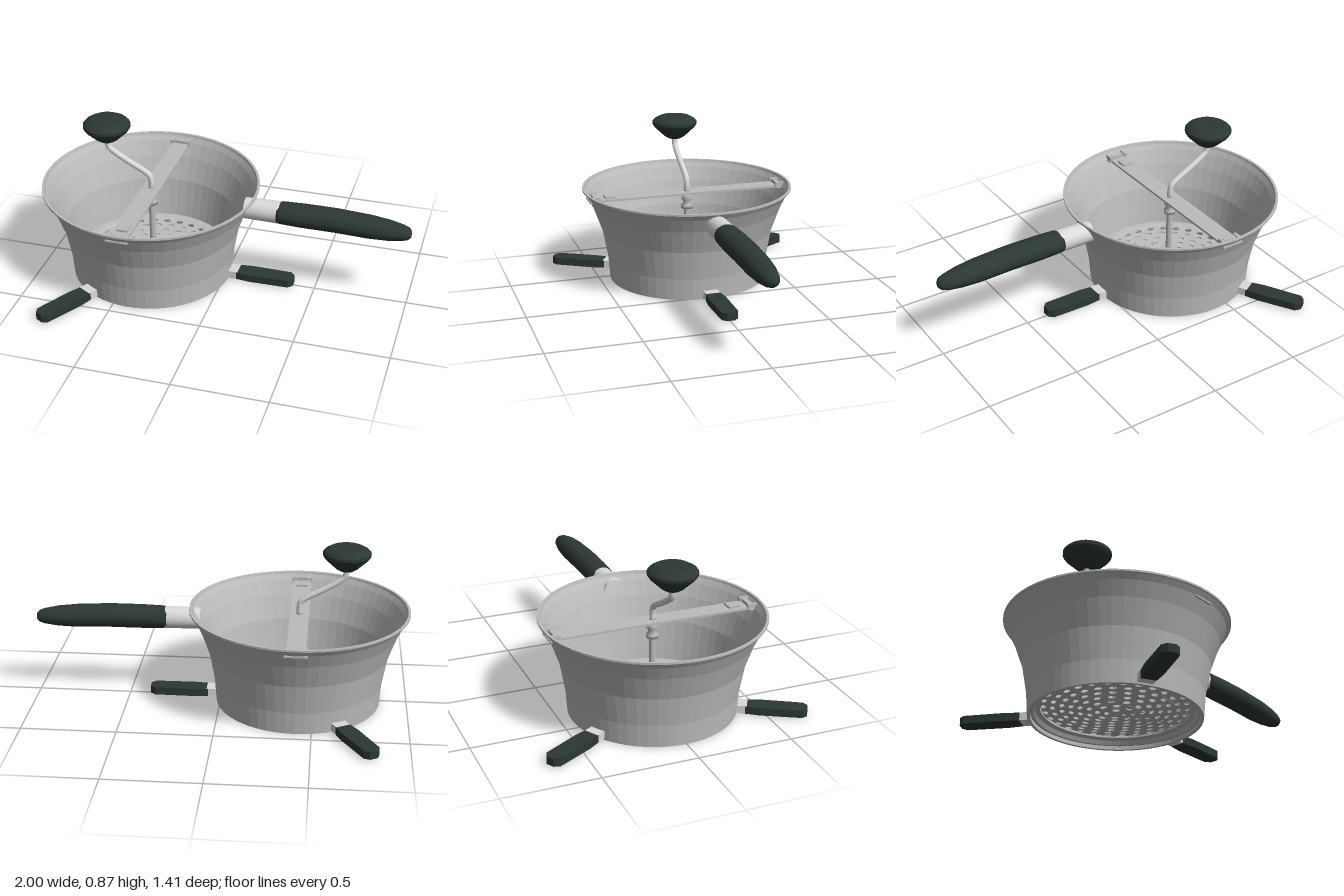
import * as THREE from 'three';
import { mergeGeometries } from 'three/addons/utils/BufferGeometryUtils.js';

const CX = -0.415; // bowl axis

const steel = new THREE.MeshStandardMaterial({ color: 0xbcbcbc });
steel.name = 'brushed steel';
const paleSteel = new THREE.MeshStandardMaterial({ color: 0xdadada });
paleSteel.name = 'pale steel';
const grip = new THREE.MeshStandardMaterial({ color: 0x2c3836 });
grip.name = 'dark green grip';

function add(parent, name, geometry, material, x = 0, y = 0, z = 0) {
  const mesh = new THREE.Mesh(geometry, material);
  mesh.name = name;
  mesh.position.set(x, y, z);
  parent.add(mesh);
  return mesh;
}

// Faceted version of a geometry
function flat(geometry) {
  const g = geometry.index ? geometry.toNonIndexed() : geometry;
  g.computeVertexNormals();
  return g;
}

const lathe = (pts, n) => new THREE.LatheGeometry(pts.map(([r, y]) => new THREE.Vector2(r, y)), n);

// Shape drawn in plan (x, -z) and given a thickness upwards
function slab(pts, depth) {
  const shape = new THREE.Shape(pts.map(([x, z]) => new THREE.Vector2(x, -z)));
  return new THREE.ExtrudeGeometry(shape, { depth, bevelEnabled: false }).rotateX(-Math.PI / 2);
}

// Dished sieve: one ring-shaped band per row of holes, on both faces
function sieve() {
  const step = 0.045, bands = [];
  for (let row = 1; row <= 8; row++) {
    const r = row * step, inner = r - step / 2, outer = r + step / 2;
    const band = new THREE.Shape().absarc(0, 0, outer, 0, Math.PI * 2);
    band.holes.push(new THREE.Path().absarc(0, 0, inner, 0, Math.PI * 2, true));
    const count = Math.round((2 * Math.PI * r) / 0.075);
    for (let i = 0; i < count; i++) {
      const a = ((i + (row % 2) / 2) / count) * Math.PI * 2;
      band.holes.push(new THREE.Path().absellipse(
        r * Math.cos(a), r * Math.sin(a), 0.013, 0.02, 0, Math.PI * 2, true, a));
    }
    bands.push(new THREE.ExtrudeGeometry(band, { depth: 0.006, bevelEnabled: false, curveSegments: 8 }));
  }
  bands.push(new THREE.ExtrudeGeometry(new THREE.Shape().absarc(0, 0, step / 2, 0, Math.PI * 2),
    { depth: 0.006, bevelEnabled: false }));
  const g = mergeGeometries(bands).rotateX(-Math.PI / 2);
  const p = g.attributes.position;
  for (let i = 0; i < p.count; i++) {
    p.setY(i, p.getY(i) + 0.02 + 0.1 * Math.hypot(p.getX(i), p.getZ(i)));
  }
  return flat(g);
}

function makeBowl() {
  const bowl = new THREE.Group();
  bowl.name = 'bowl';
  // Flared wall with rim and a ledge for the sieve
  add(bowl, 'bowlWall', flat(lathe([
    [0.425, 0], [0.44, 0], [0.449, 0.12], [0.478, 0.28], [0.524, 0.41], [0.56, 0.485], [0.578, 0.512],
    [0.585, 0.515], [0.585, 0.525], [0.572, 0.525], [0.568, 0.512], [0.55, 0.485], [0.514, 0.41],
    [0.468, 0.28], [0.439, 0.12], [0.43, 0.065], [0.395, 0.062], [0.378, 0.055],
    [0.378, 0.048], [0.4, 0.04], [0.41, 0.02], [0.425, 0.02], [0.425, 0],
  ], 56)), steel);
  add(bowl, 'sieve', sieve(), steel);
  return bowl;
}

function makeCrossbar() {
  const bar = new THREE.Group();
  bar.name = 'crossbar';
  add(bar, 'barPlate', new THREE.BoxGeometry(0.1, 0.012, 1.1), steel, 0, 0.484, 0);
  add(bar, 'latchButton', new THREE.BoxGeometry(0.06, 0.014, 0.06), steel, 0, 0.494, 0.445);
  for (const s of [-1, 1]) {
    // Clip: outer tab through the wall, raised bridge and two legs
    add(bar, 'wallTab', new THREE.BoxGeometry(0.12, 0.008, 0.05), steel, 0, 0.48, s * 0.54);
    add(bar, 'clipBridge', new THREE.BoxGeometry(0.07, 0.02, 0.025), steel, 0, 0.497, s * 0.53);
    for (const x of [-0.048, 0.048]) {
      add(bar, 'clipLeg', new THREE.BoxGeometry(0.018, 0.024, 0.05), steel, x, 0.497, s * 0.535);
    }
  }
  return bar;
}

function makeCrank() {
  const crank = new THREE.Group();
  crank.name = 'crank';
  add(crank, 'shaft', new THREE.CylinderGeometry(0.017, 0.017, 0.47, 16), steel, 0, 0.265, 0);
  // Collars under the bar
  add(crank, 'springCollar', lathe([[0, 0.39], [0.032, 0.39], [0.032, 0.41], [0.022, 0.412],
    [0.022, 0.44], [0.03, 0.442], [0.03, 0.478], [0, 0.478]], 20), steel);
  add(crank, 'hub', new THREE.CylinderGeometry(0.022, 0.03, 0.07, 16), steel, 0, 0.06, 0);
  // Bent arm
  const path = new THREE.CatmullRomCurve3([
    [0, 0.48], [0, 0.53], [-0.008, 0.56], [-0.035, 0.582], [-0.12, 0.628],
    [-0.2, 0.676], [-0.232, 0.702], [-0.24, 0.73], [-0.24, 0.77],
  ].map(([x, y]) => new THREE.Vector3(x, y, 0)));
  add(crank, 'arm', new THREE.TubeGeometry(path, 40, 0.016, 12), paleSteel);
  add(crank, 'knob', flat(lathe([[0, 0.742], [0.038, 0.742], [0.06, 0.756], [0.115, 0.808], [0.126, 0.825],
    [0.126, 0.84], [0.115, 0.852], [0.088, 0.867], [0, 0.869]], 28)), grip, -0.24, 0, 0);
  // Slanted pressing blade
  const blade = slab([[-0.02, 0.05], [0.31, 0.05], [0.355, 0.015], [0.35, -0.075],
    [0.15, -0.15], [0.05, -0.115], [-0.02, -0.1]], 0.007);
  const p = blade.attributes.position;
  for (let i = 0; i < p.count; i++) p.setY(i, p.getY(i) + 0.085 - 0.3 * p.getZ(i));
  add(crank, 'blade', flat(blade), steel);
  return crank;
}

function makeHandle() {
  const handle = new THREE.Group();
  handle.name = 'handle';
  add(handle, 'ferrule', new THREE.CylinderGeometry(0.06, 0.057, 0.19, 24).rotateZ(-Math.PI / 2),
    paleSteel, 0.205, 0.447, 0);
  // Grip: oval in section, drooping towards the tip
  const g = lathe([[0, 0.29], [0.062, 0.29], [0.067, 0.31], [0.071, 0.42], [0.071, 0.6], [0.069, 0.78],
    [0.061, 0.88], [0.047, 0.955], [0.036, 0.985], [0.02, 0.998], [0, 1]], 28).rotateZ(-Math.PI / 2);
  const p = g.attributes.position;
  for (let i = 0; i < p.count; i++) {
    const droop = 0.018 * Math.max(0, (p.getX(i) - 0.6) / 0.4);
    p.setY(i, p.getY(i) * 0.88 + 0.448 - droop);
  }
  g.computeVertexNormals();
  add(handle, 'grip', g, grip);
  return handle;
}

function makeFoot(angle) {
  const foot = new THREE.Group();
  foot.name = 'foot';
  add(foot, 'footBracket', new THREE.BoxGeometry(0.06, 0.042, 0.08), paleSteel, 0.463, 0.03, 0);
  add(foot, 'footPad', slab([[0.485, 0.04], [0.56, 0.048], [0.775, 0.045], [0.8, 0.022],
    [0.8, -0.022], [0.775, -0.045], [0.56, -0.048], [0.485, -0.04]], 0.042), grip, 0, 0.008, 0);
  foot.rotation.y = angle;
  return foot;
}

export function createModel() {
  const model = new THREE.Group();
  model.name = 'foodMill';
  const body = new THREE.Group();
  body.name = 'body';
  body.position.x = CX;
  body.add(makeBowl(), makeCrossbar(), makeCrank());
  for (let i = 0; i < 3; i++) body.add(makeFoot((i * Math.PI * 2) / 3));
  model.add(body, makeHandle());
  return model;
}
